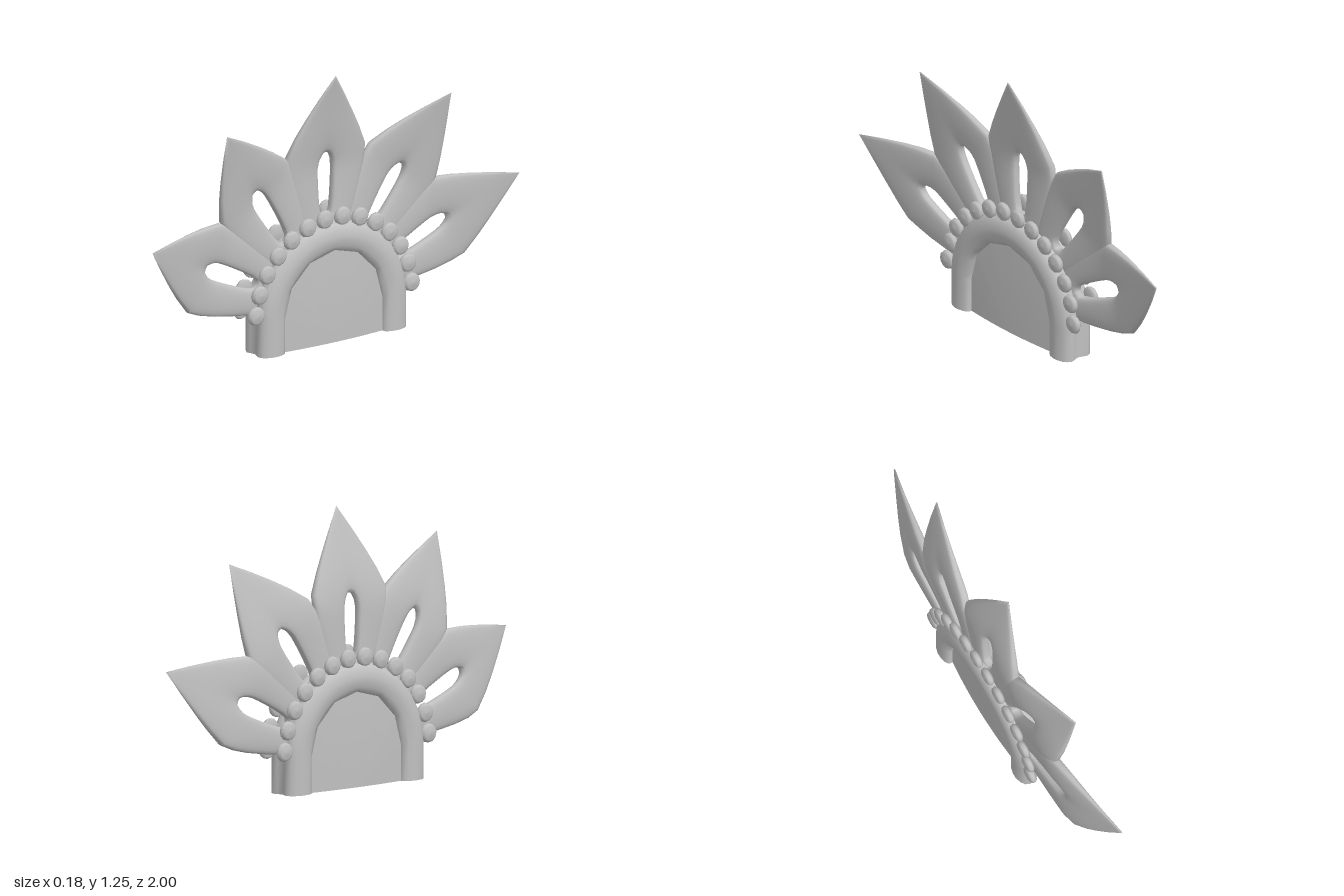
import * as THREE from 'three';
import { mergeVertices } from 'three/addons/utils/BufferGeometryUtils.js';

const stone = new THREE.MeshStandardMaterial({ color: 0xc0c0c0, side: THREE.DoubleSide });
stone.name = 'pale grey';

// Smooth surface through a grid of points fn(i, j)
function gridSurface(ni, nj, fn) {
  const pos = [], idx = [];
  for (let i = 0; i <= ni; i++) for (let j = 0; j <= nj; j++) pos.push(...fn(i, j));
  for (let i = 0; i < ni; i++) for (let j = 0; j < nj; j++) {
    const a = i * (nj + 1) + j, b = a + nj + 1;
    idx.push(a, b, a + 1, b, b + 1, a + 1);
  }
  let g = new THREE.BufferGeometry();
  g.setAttribute('position', new THREE.Float32BufferAttribute(pos, 3));
  g.setIndex(idx);
  g = mergeVertices(g, 1e-4);
  g.computeVertexNormals();
  return g;
}

function add(parent, name, geometry) {
  const m = new THREE.Mesh(geometry, stone);
  m.name = name;
  parent.add(m);
  return m;
}

// Arch outline: two straight legs and a half circle; returns [y, z]
const SPRING = 0.16, ARC = 24;
function archPoint(i, r, faceted) {
  if (i === 0) return [0, r];
  if (i === ARC + 2) return [0, -r];
  const t = (i - 1) / ARC * Math.PI, step = Math.PI / 6;
  const k = faceted ? Math.cos(step / 2) / Math.cos((t % step) - step / 2) : 1;
  return [SPRING + r * k * Math.sin(t), r * k * Math.cos(t)];
}

// Double rim with a groove between, as [radius, x]
const halfRim = [[0.27, 0.048], [0.273, 0.07], [0.29, 0.081], [0.315, 0.087], [0.34, 0.088],
  [0.37, 0.08], [0.39, 0.066], [0.4, 0.045], [0.393, 0.024], [0.385, 0]];
const rimProfile = [...halfRim, ...halfRim.slice(0, -1).reverse().map(([r, x]) => [r, -x])];

function rimGeometry() {
  return gridSurface(ARC + 2, rimProfile.length - 1, (i, j) => {
    const [r, x] = rimProfile[j];
    const [y, z] = archPoint(i, r, r < 0.28);
    return [x, y, z];
  });
}

// Slightly domed panel filling the inside of the rim
function panelGeometry(side) {
  const rings = 6;
  return gridSurface(ARC + 2, rings, (i, j) => {
    const s = j / rings, [y, z] = archPoint(i, 0.272, true);
    return [side * (0.052 + 0.014 * (1 - s * s)), y * s, z * s];
  });
}

// Petal half outlines, as [distance along, half width]
const petalEdge = [[1.1, 0], [1.0, 0.066], [0.9, 0.126], [0.82, 0.17], [0.73, 0.212], [0.66, 0.21],
  [0.58, 0.195], [0.48, 0.168], [0.4, 0.143], [0.33, 0.11], [0.3, 0]];
const holeEdge = [[0.72, 0], [0.718, 0.016], [0.7, 0.028], [0.68, 0.036], [0.65, 0.04], [0.61, 0.04],
  [0.56, 0.038], [0.51, 0.035], [0.46, 0.03], [0.42, 0.022], [0.41, 0]];
const mirrored = (half) => [...half, ...half.slice(0, -1).reverse().map(([u, v]) => [u, -v])];

// Petal bends sideways towards its tip and thins out there
function petalGeometry() {
  const outer = mirrored(petalEdge), inner = mirrored(holeEdge), around = 24;
  return gridSurface(outer.length - 1, around, (i, j) => {
    const a = j / around * Math.PI * 2, s = (1 - Math.cos(a)) / 2, w = Math.sin(a);
    const u = THREE.MathUtils.lerp(inner[i][0], outer[i][0], s);
    const v = THREE.MathUtils.lerp(inner[i][1], outer[i][1], s);
    const bend = -0.016 + 0.092 * Math.pow(Math.max(0, (u - 0.65) / 0.45), 1.3);
    const half = 0.027 - 0.019 * THREE.MathUtils.smoothstep(u, 0.7, 1.1);
    const bulge = Math.abs(w) < 1e-6 ? 0 : Math.sign(w) * Math.sqrt(Math.abs(w));
    return [bend + half * bulge, u, v];
  });
}

// Domed bead
const beadGeometry = new THREE.LatheGeometry(
  [[0, 0], [0.034, 0], [0.044, 0.011], [0.041, 0.024], [0.031, 0.031], [0, 0.035]]
    .map(([r, h]) => new THREE.Vector2(r, h)), 12);

export function createModel() {
  const model = new THREE.Group();
  model.name = 'petalCrest';

  // Arched base, open underneath
  add(model, 'archRim', rimGeometry());
  add(model, 'leftPanel', panelGeometry(1));
  add(model, 'rightPanel', panelGeometry(-1));

  // Fan of five petals
  const petal = petalGeometry();
  for (const degrees of [65.3, 32.6, 0, -35, -65.6]) {
    const p = add(model, 'petal', petal);
    p.position.y = 0.15;
    p.rotation.x = THREE.MathUtils.degToRad(degrees);
  }

  // Row of beads along the arch on both sides
  const count = 14;
  for (const side of [1, -1]) for (let i = 0; i < count; i++) {
    const a = THREE.MathUtils.degToRad(-84.5 + 169 * i / (count - 1));
    const b = add(model, 'bead', beadGeometry);
    b.position.set(side * 0.045, SPRING + 0.425 * Math.cos(a), 0.425 * Math.sin(a));
    b.rotation.z = -side * Math.PI / 2;
  }
  return model;
}
